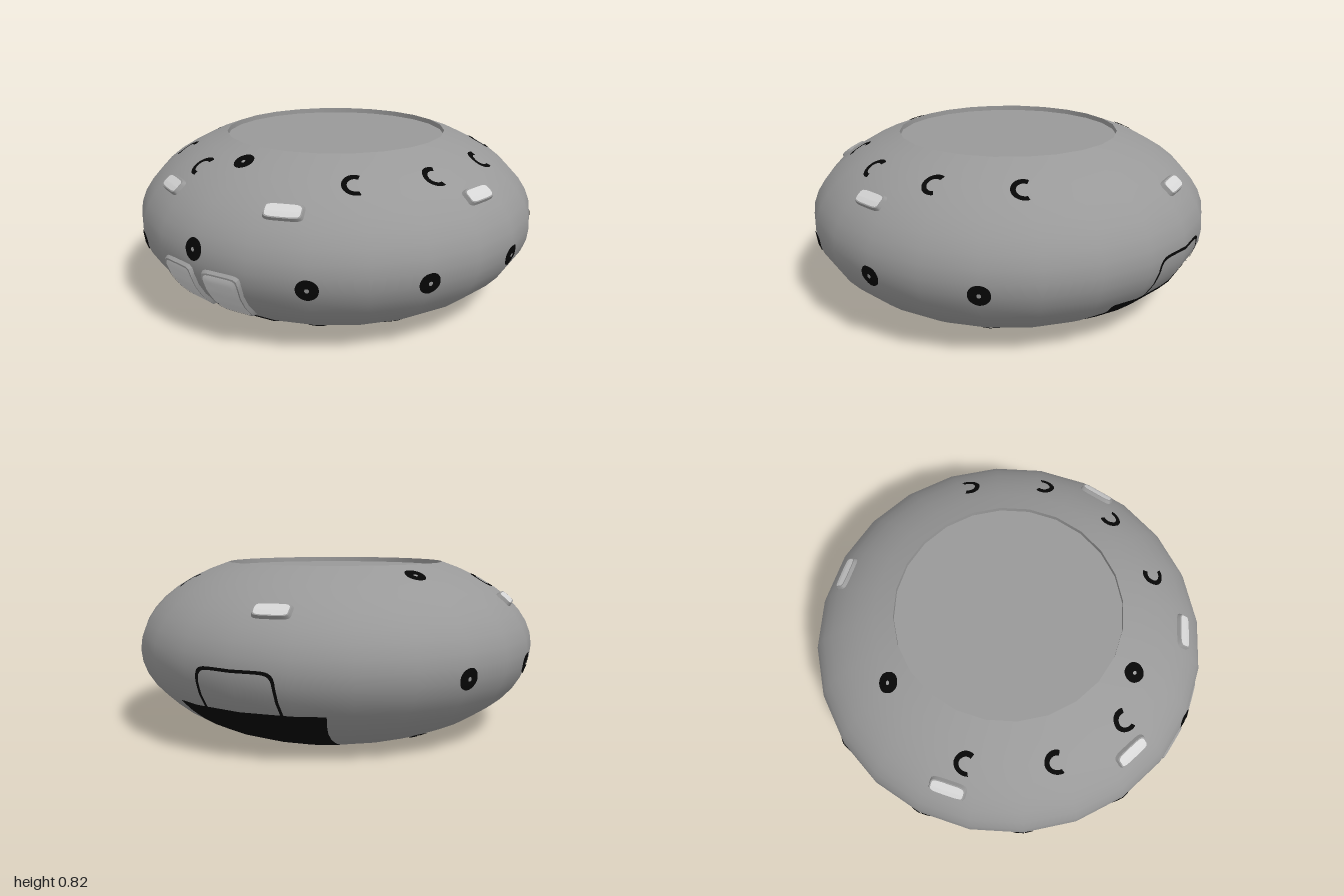
import * as THREE from 'three';
import { toCreasedNormals } from 'three/addons/utils/BufferGeometryUtils.js';

const SIDES = 24, HEIGHT = 0.825, MID = HEIGHT / 2, RIM = 0.55;
const mat = (name, color, side = THREE.FrontSide) => {
  const m = new THREE.MeshStandardMaterial({ color, side });
  m.name = name;
  return m;
};
const deg = THREE.MathUtils.degToRad;

// Hull profile: an ellipse cut flat at top and bottom
const HALF = Math.acos(RIM), STEPS = 16;
const profile = [];
for (let i = 0; i <= STEPS; i++) {
  const a = -HALF + (2 * HALF * i) / STEPS;
  profile.push(new THREE.Vector2(Math.cos(a), MID + (MID / Math.sin(HALF)) * Math.sin(a)));
}

// Hull radius at a height, and its slope dR/dy
function hullRadius(y) {
  let i = 0;
  while (i < STEPS - 1 && y > profile[i + 1].y) i++;
  const a = profile[i], b = profile[i + 1];
  return a.x + ((b.x - a.x) * (y - a.y)) / (b.y - a.y);
}
const hullSlope = (y) => (hullRadius(y + 0.02) - hullRadius(y - 0.02)) / 0.04;

// Point on the faceted hull at (angle, height), lifted along the normal
function hullPoint(theta, y, lift) {
  const step = (2 * Math.PI) / SIDES;
  const local = theta - (Math.floor(theta / step) + 0.5) * step;
  const r = (hullRadius(y) * Math.cos(step / 2)) / Math.cos(local);
  const slope = hullSlope(THREE.MathUtils.clamp(y, 0.03, HEIGHT - 0.03)), len = Math.hypot(1, slope);
  const rr = r + lift / len;
  return [Math.sin(theta) * rr, y - (lift * slope) / len, Math.cos(theta) * rr];
}

// Plate wrapped on the hull: rings run from inner to outer, each { f(angle) -> [u, v], lift }
function plate(theta0, y0, rings, { start = 0, sweep = 2 * Math.PI, seg = 48, upright = false } = {}) {
  const pos = [], index = [], row = seg + 1;
  const vScale = upright ? 1 : 1 / Math.hypot(1, hullSlope(y0));
  rings.forEach(({ f, lift }, k) => {
    for (let i = 0; i <= seg; i++) {
      const [u, v] = f(start + (sweep * i) / seg);
      const y = y0 + v * vScale;
      pos.push(...hullPoint(theta0 + Math.asin(u / hullRadius(y)), y, lift));
      if (k && i < seg) {
        const a = (k - 1) * row + i, b = k * row + i;
        index.push(a, b, b + 1, a, b + 1, a + 1);
      }
    }
  });
  const geo = new THREE.BufferGeometry();
  geo.setAttribute('position', new THREE.Float32BufferAttribute(pos, 3));
  geo.setIndex(index);
  return toCreasedNormals(geo, 0.5);
}

// Outline of a rounded rectangle (larger n = sharper corners), with an optional warp
const box = (hw, hh, n, warp = (u, v) => [u, v]) => (a) => {
  const c = Math.cos(a), s = Math.sin(a);
  const k = Math.pow(Math.abs(c) ** n + Math.abs(s) ** n, -1 / n);
  return warp(hw * k * c, hh * k * s);
};
const circle = (r) => box(r, r, 2);
const filled = (make, lift, count) =>
  Array.from({ length: count + 1 }, (_, i) => ({ f: make(Math.max(i / count, 0.001)), lift }));

export function createModel() {
  const hullGrey = mat('hull grey', 0x999999);
  const glass = mat('pale glass', 0xd6d6d6);
  const black = mat('black', 0x060606, THREE.DoubleSide);
  const model = new THREE.Group();
  model.name = 'saucerHouse';
  const add = (name, geo, material) => {
    const mesh = new THREE.Mesh(geo, material);
    mesh.name = name;
    model.add(mesh);
    return mesh;
  };

  // Shell and the recessed top and bottom discs with their lips
  add('hull', new THREE.LatheGeometry(profile, SIDES), hullGrey);
  for (const top of [true, false]) {
    const name = top ? 'top' : 'bottom';
    const outer = top ? HEIGHT : 0, inner = top ? HEIGHT - 0.025 : 0.025;
    const edge = top ? [outer, inner] : [inner, outer];
    const lip = new THREE.LatheGeometry([new THREE.Vector2(RIM, edge[0]), new THREE.Vector2(RIM, edge[1])], SIDES);
    // Both lips run downward, so they face the axis
    add(name + 'Lip', lip, hullGrey);
    const disc = add(name + 'Disc', new THREE.CircleGeometry(RIM, SIDES), hullGrey);
    disc.rotation.x = top ? -Math.PI / 2 : Math.PI / 2;
    disc.position.y = inner;
  }

  // Raised lamps around the upper hull
  for (const angle of [-22.5, 22.5, 83, -83, 188]) {
    const t = deg(angle);
    add('lampFrame', plate(t, 0.65, [
      { f: box(0.078, 0.03, 5), lift: 0.016 },
      { f: box(0.084, 0.036, 5), lift: 0.016 },
      { f: box(0.092, 0.044, 5), lift: -0.004 },
    ]), hullGrey);
    add('lampGlass', plate(t, 0.65, filled((s) => box(0.078 * s, 0.03 * s, 5), 0.016, 5)), glass);
  }

  // Pair of front windows, narrowing downward on their outer sides
  for (const side of [-1, 1]) {
    const taper = (u, v) => {
      const inward = (0.107 + side * u) / 0.214;
      return [u + side * (0.128 - 0.035 * inward * Math.max(0, 0.5 - v / 0.24) ** 1.3), v];
    };
    const o = { upright: true };
    add('windowFrame', plate(0, 0.27, [
      { f: box(0.09, 0.103, 8, taper), lift: 0.016 },
      { f: box(0.097, 0.111, 8, taper), lift: 0.016 },
      { f: box(0.107, 0.121, 8, taper), lift: -0.004 },
    ], o), hullGrey);
    add('windowGlass', plate(0, 0.27, filled((s) => box(0.09 * s, 0.103 * s, 8, taper), 0.015, 6), o), glass);
  }

  // Black panels under the windows and under the door
  const panel = (name, theta, height, topHalf, bottomHalf) => {
    const hh = (height - 0.006) / 2;
    const taper = (u, v) => [u * (topHalf + bottomHalf + ((topHalf - bottomHalf) * v) / hh) / 2, v];
    add(name, plate(theta, 0.006 + hh, filled((s) => box(s, hh * s, 60, taper), 0.005, 16),
      { seg: 96, upright: true }), black);
  };
  panel('frontPanel', 0, 0.137, 0.2, 0.15);
  panel('backPanel', Math.PI, 0.23, 0.37, 0.27);

  // Door seam at the back
  add('doorSeam', plate(Math.PI, 0.22, [
    { f: box(0.182, 0.188, 9), lift: 0.004 },
    { f: box(0.196, 0.202, 9), lift: 0.004 },
  ], { sweep: Math.PI, seg: 64, upright: true }), black);

  // Round ports with a pinhole centre: middle row, lower row and single ones
  const ports = [[-1, 0.465], [-1.5, 0.78], [238, 0.78]];
  for (const angle of [30, 60, 90, 120]) {
    for (const s of [-1, 1]) ports.push([s * angle, 0.365], [s * angle, 0.05]);
  }
  for (const [angle, y] of ports) {
    const r = y < 0.1 ? 0.045 : 0.05;
    add('port', plate(deg(angle), y,
      [0.01, 0.024, 0.037, r].map((q) => ({ f: circle(q), lift: 0.004 })), { seg: 24 }), black);
  }

  // Crescent marks around the shoulder, all opening the same way round
  for (const angle of [132, 102, 72, 43, -18, -47, -79]) {
    add('crescent', plate(deg(angle), 0.735,
      [0.036, 0.048, 0.06].map((q) => ({ f: circle(q), lift: 0.004 })),
      { start: deg(65), sweep: deg(225), seg: 20 }), black);
  }
  return model;
}
